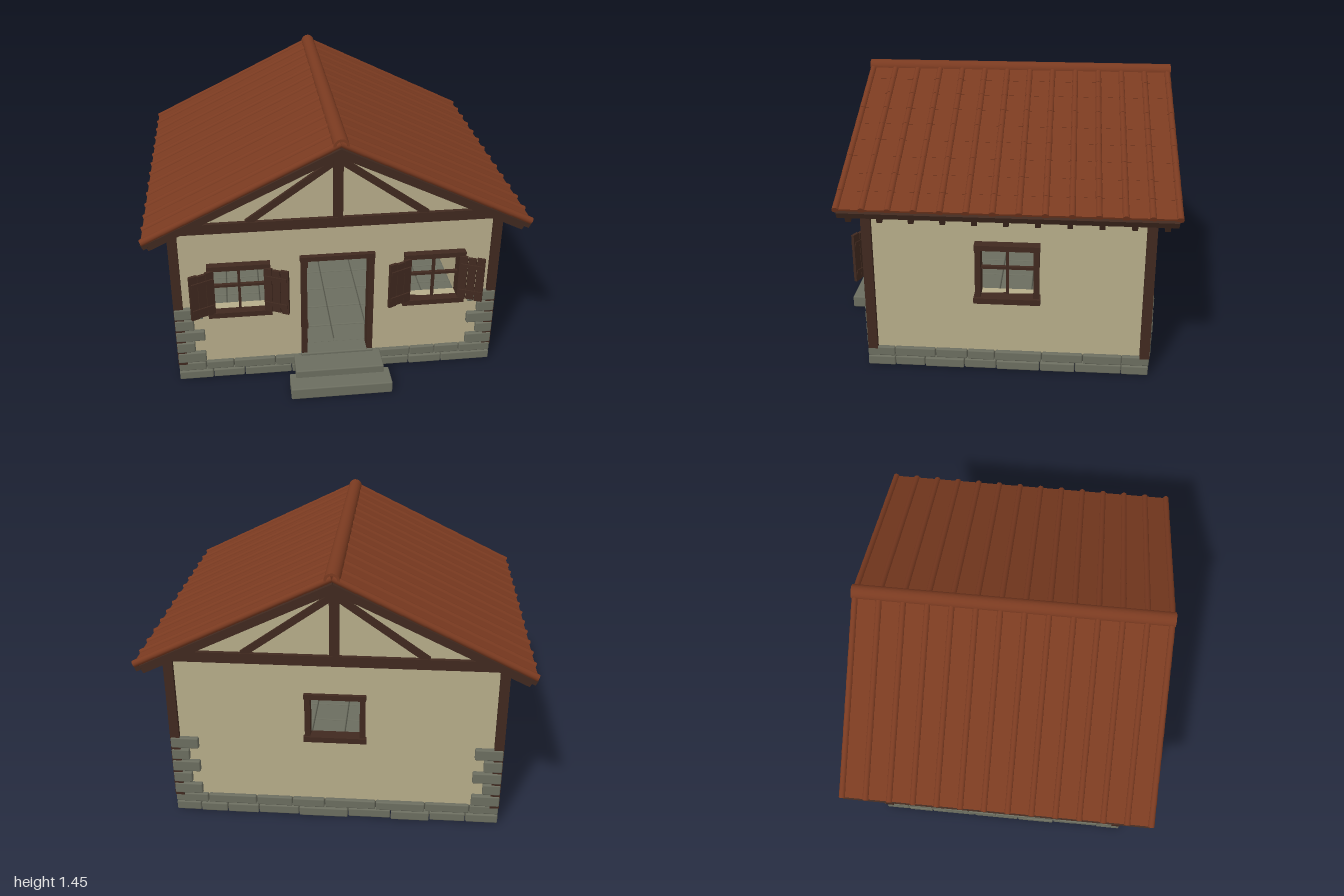
import * as THREE from 'three';
import { RoundedBoxGeometry } from 'three/addons/geometries/RoundedBoxGeometry.js';

const mat = (name, color) => Object.assign(new THREE.MeshStandardMaterial({ color }), { name });

export function createModel() {
  const plaster = mat('plaster', 0xb6ac89);
  const wood = mat('dark wood', 0x40291f);
  const tile = mat('clay tile', 0x7a3a20);
  const stone = mat('stone', 0x6b6d5f);
  const mortar = mat('mortar', 0x4a4b41);
  const model = new THREE.Group();
  model.name = 'cottage';
  const ZC = -0.065; // middle of the house along z

  let seed = 7;
  const rand = () => (seed = (seed * 16807) % 2147483647) / 2147483647;

  const group = (name, parent = model) => {
    const g = new THREE.Group();
    g.name = name;
    parent.add(g);
    return g;
  };
  const add = (parent, name, geo, material) => {
    const m = new THREE.Mesh(geo, material);
    m.name = name;
    parent.add(m);
    return m;
  };
  // box from its minimum and maximum corners; stones get worn edges
  const box = (parent, name, material, x0, x1, y0, y1, z0, z1) => {
    const size = [x1 - x0, y1 - y0, z1 - z0];
    const geo = material === stone ? new RoundedBoxGeometry(...size, 2, 0.007) : new THREE.BoxGeometry(...size);
    const m = add(parent, name, geo, material);
    m.position.set((x0 + x1) / 2, (y0 + y1) / 2, (z0 + z1) / 2);
    return m;
  };
  // timber between two points in the xy plane
  const beam = (parent, name, a, b, thick, depth, z) => {
    const dx = b[0] - a[0], dy = b[1] - a[1];
    const m = add(parent, name, new THREE.BoxGeometry(Math.hypot(dx, dy), thick, depth), wood);
    m.position.set((a[0] + b[0]) / 2, (a[1] + b[1]) / 2, z);
    m.rotation.z = Math.atan2(dy, dx);
    return m;
  };
  // flat wall with rectangular openings [x0, x1, y0, y1]
  const wall = (name, points, holes) => {
    const shape = new THREE.Shape(points.map(p => new THREE.Vector2(...p)));
    for (const [x0, x1, y0, y1] of holes) {
      shape.holes.push(new THREE.Path([[x0, y0], [x0, y1], [x1, y1], [x1, y0]].map(p => new THREE.Vector2(...p))));
    }
    return add(model, name, new THREE.ExtrudeGeometry(shape, { depth: 0.05, bevelEnabled: false }), plaster);
  };

  // Walls
  const W = 0.85;
  const gable = [[W, 0.1], [W, 0.965], [0, 1.372], [-W, 0.965], [-W, 0.1]];
  const doorway = [[-0.17, 0.1], [-0.17, 0.72], [0.17, 0.72], [0.17, 0.1]];
  wall('frontWall', [...gable, ...doorway], [-0.52, 0.52].map(x => [x - 0.135, x + 0.135, 0.445, 0.7])).position.z = 0.6;
  wall('backWall', gable, [[-0.14, 0.14, 0.488, 0.732]]).position.z = -0.78;
  const side = [[-0.6, 0.1], [0.73, 0.1], [0.73, 0.96], [-0.6, 0.96]];
  for (const s of [1, -1]) {
    const w = wall(s > 0 ? 'leftWall' : 'rightWall', side, s > 0 ? [[-0.07, 0.2, 0.445, 0.705]] : []);
    w.rotation.y = Math.PI / 2;
    w.position.x = s > 0 ? W - 0.05 : -W;
  }

  // Corner posts, gable timbers and quoin stones, front and back
  for (const f of [1, -1]) {
    const end = group(f > 0 ? 'frontTimbers' : 'backTimbers');
    end.position.z = f > 0 ? 0.65 : -0.78;
    if (f < 0) end.rotation.y = Math.PI;
    box(end, 'tieBeam', wood, -0.87, 0.87, 0.915, 0.97, -0.03, 0.022);
    box(end, 'kingPost', wood, -0.025, 0.025, 0.97, 1.36, -0.02, 0.02);
    for (const s of [1, -1]) {
      box(end, 'cornerPost', wood, s > 0 ? 0.823 : -0.872, s > 0 ? 0.872 : -0.823, 0.1, 0.92, -0.03, 0.02);
      beam(end, 'gableBrace', [s * 0.465, 0.965], [s * 0.015, 1.285], 0.035, 0.035, 0);
      beam(end, 'gableRafter', [s * 0.87, 0.92], [0, 1.337], 0.05, 0.04, 0.001);
      for (let i = 0; i < 5; i++) {
        const w = (i % 2 ? 0.095 : 0.15) + (rand() - 0.5) * 0.012, y = 0.113 + i * 0.0715;
        const q = box(end, 'quoinStone', stone, 0, w, y, y + 0.061 + rand() * 0.004, -0.005, 0.023 + rand() * 0.004);
        q.position.x = s * (0.871 - w / 2);
      }
    }
  }

  // Foundation: mortar core, two courses of blocks, floor slabs
  const base = group('foundation');
  box(base, 'mortarCore', mortar, -0.85, 0.85, 0.06, 0.09, -0.78, 0.65);
  const course = (from, to, place) => {
    for (let row = 0; row < 2; row++) {
      let p = from;
      while (p < to - 0.001) {
        let len = 0.14 + rand() * 0.14;
        if (to - p - len < 0.12) len = Math.min(to - p, 0.29);
        if (to - p - len < 0.05) len = to - p;
        place(p + 0.002, p + len - 0.002, row * 0.055 + rand() * 0.003, row * 0.055 + 0.053, rand() * 0.008);
        p += len;
      }
    }
  };
  course(-0.872, 0.872, (a, b, y0, y1, j) => box(base, 'frontBlock', stone, a, b, y0, y1, 0.53, 0.668 + j));
  course(-0.872, 0.872, (a, b, y0, y1, j) => box(base, 'backBlock', stone, a, b, y0, y1, -0.797 - j, -0.66));
  course(-0.66, 0.53, (a, b, y0, y1, j) => box(base, 'leftBlock', stone, 0.73, 0.866 + j, y0, y1, a, b));
  course(-0.66, 0.53, (a, b, y0, y1, j) => box(base, 'rightBlock', stone, -0.866 - j, -0.73, y0, y1, a, b));
  const nx = 8, nz = 7, sx = 1.6 / nx, sz = 1.33 / nz;
  for (let i = 0; i < nx; i++) for (let k = 0; k < nz; k++) {
    const x = -0.8 + i * sx, z = -0.73 + k * sz;
    box(base, 'floorSlab', stone, x + 0.002, x + sx - 0.002, 0.045, 0.11, z + 0.002, z + sz - 0.002);
  }

  // Entrance steps
  const steps = group('steps');
  box(steps, 'lowerStep', stone, -0.273, 0.273, 0, 0.068, 0.77, 0.905);
  box(steps, 'upperStep', stone, -0.24, 0.24, 0.058, 0.112, 0.66, 0.812);
  box(steps, 'threshold', stone, -0.2, 0.2, 0.085, 0.126, 0.58, 0.68);

  // Door frame and plank door standing open inward
  const door = group('doorway');
  for (const x of [-0.196, 0.166]) box(door, 'doorJamb', wood, x, x + 0.03, 0.12, 0.722, 0.59, 0.672);
  box(door, 'doorLintel', wood, -0.2, 0.198, 0.72, 0.746, 0.59, 0.678);
  const leaf = group('openDoor', door);
  for (let i = 0; i < 5; i++) {
    box(leaf, 'doorPlank', wood, -0.172, -0.156 - (i % 2) * 0.003, 0.135, 0.715, 0.595 - (i + 1) * 0.065 + 0.003, 0.595 - i * 0.065);
  }
  for (const y of [0.22, 0.62]) box(leaf, 'doorLedger', wood, -0.176, -0.15, y, y + 0.035, 0.285, 0.58);

  // Small table inside
  const table = group('table');
  box(table, 'tableTop', wood, -0.5, -0.112, 0.338, 0.356, -0.5, -0.22);
  for (const x of [-0.475, -0.16]) for (const z of [-0.475, -0.27]) {
    box(table, 'tableLeg', wood, x, x + 0.025, 0.11, 0.338, z, z + 0.025);
  }

  // Windows are built facing +z around the middle of the opening
  const makeWindow = (name, w, h, depth, cross) => {
    const g = group(name), a = w / 2, b = h / 2;
    for (const s of [-1, 1]) box(g, 'windowJamb', wood, s * (a + 0.0125) - 0.0145, s * (a + 0.0125) + 0.0145, -b, b, -0.045, depth - 0.006);
    box(g, 'windowHead', wood, -a - 0.03, a + 0.03, b, b + 0.028, -0.045, depth);
    box(g, 'windowSill', wood, -a - 0.034, a + 0.034, -b - 0.03, -b, -0.045, depth * 1.2);
    if (cross) {
      box(g, 'uprightBar', wood, -0.007, 0.007, -b, b, -0.01, 0.01);
      box(g, 'crossBar', wood, -a, a, 0.01, 0.024, -0.01, 0.01);
    }
    return g;
  };
  const sideWindow = makeWindow('leftWindow', 0.27, 0.26, 0.055, true);
  sideWindow.position.set(W, 0.575, ZC);
  sideWindow.rotation.y = Math.PI / 2;
  const backWindow = makeWindow('backWindow', 0.26, 0.22, 0.02, false);
  backWindow.position.set(0, 0.61, -0.78);
  backWindow.rotation.y = Math.PI;

  for (const x of [-0.52, 0.52]) {
    const win = makeWindow('frontWindow', 0.27, 0.255, 0.04, true);
    win.position.set(x, 0.5725, 0.65);
    // Shutters, hinged at the jambs and swung slightly off the wall
    for (const s of [-1, 1]) {
      const sh = group('shutter', win);
      sh.position.set(s * 0.131, 0, 0.035);
      sh.rotation.y = -s * 0.42;
      for (let i = 0; i < 3; i++) {
        const m = box(sh, 'shutterBoard', wood, 0, 0.043, -0.13 + (i % 2) * 0.004, 0.134 - (i % 2) * 0.006, -0.008, 0.008);
        m.position.x = s * (0.023 + i * 0.046);
      }
      for (const y of [-0.09, 0.07]) {
        box(sh, 'shutterLedger', wood, -0.06, 0.06, y, y + 0.022, -0.012, 0.015).position.x = s * 0.069;
      }
    }
  }

  // Roof: each half is built along +x and turned about the ridge
  const tileTilt = Math.atan(0.488), rafterTilt = Math.atan(0.482);
  const length = 0.985 / Math.cos(tileTilt), rows = 9, start = 0.006, step = (length - start) / rows, pitch = 0.1265;
  const coverGeo = new THREE.CylinderGeometry(0.0165, 0.018, step + 0.008, 10).rotateZ(Math.PI / 2);
  const panGeo = new THREE.BoxGeometry(step + 0.004, 0.012, pitch * 13);
  const rafterGeo = new THREE.BoxGeometry(1.09, 0.042, 0.027);
  for (const s of [1, -1]) {
    const half = group(s > 0 ? 'leftRoof' : 'rightRoof');
    half.position.z = ZC;
    if (s < 0) half.rotation.y = Math.PI;
    const cover = group('roofTiles', half);
    cover.position.y = 1.42;
    cover.rotation.z = -tileTilt;
    for (let r = 0; r < rows; r++) {
      const x = start + (r + 0.5) * step;
      const pan = add(cover, 'panTileRow', panGeo, tile);
      pan.position.set(x, -0.002, 0);
      pan.rotation.z = 0.006;
      for (let i = 0; i < 14; i++) {
        add(cover, 'coverTile', coverGeo, tile).position.set(x, 0, (i - 6.5) * pitch);
      }
    }
    const frame = group('roofFrame', half);
    frame.position.y = 1.385;
    frame.rotation.z = -rafterTilt;
    box(frame, 'roofDeck', wood, 0, 1.092, -0.012, 0.004, -0.82, 0.82);
    box(frame, 'eaveBoard', wood, 1.07, 1.096, -0.017, 0.016, -0.82, 0.82);
    for (let i = 0; i < 11; i++) {
      add(frame, 'rafter', rafterGeo, wood).position.set(0.545, -0.031, (i - 5) * 0.154);
    }
  }
  // Hollow half-round cap along the ridge
  const arch = new THREE.Shape();
  arch.absarc(0, 0, 0.039, 0, Math.PI, false);
  arch.absarc(0, 0, 0.026, Math.PI, 0, true);
  const capGeo = new THREE.ExtrudeGeometry(arch, { depth: 1.68, bevelEnabled: false, curveSegments: 12 });
  add(model, 'ridgeCap', capGeo, tile).position.set(0, 1.411, ZC - 0.84);
  return model;
}
